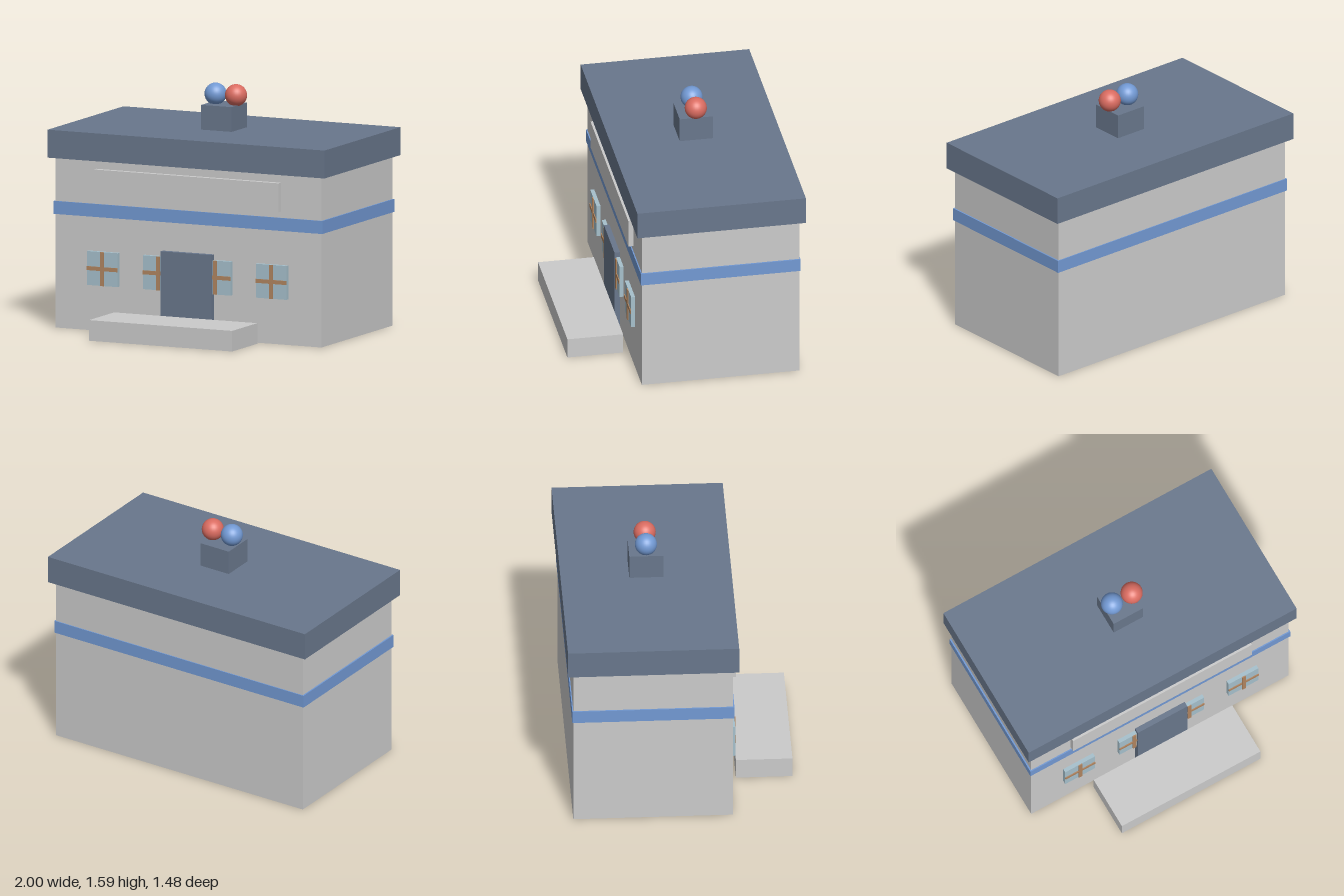
import * as THREE from 'three';

const mat = (name, color) => {
  const m = new THREE.MeshStandardMaterial({ color });
  m.name = name;
  return m;
};

export function createModel() {
  const wall = mat('wall grey', 0xcbcbcb);
  const slate = mat('slate', 0x69778c);
  const blue = mat('blue', 0x7299d3);
  const red = mat('red', 0xda6c61);
  const glass = mat('window glass', 0xa6c0cc);
  const wood = mat('window wood', 0xb08560);

  const model = new THREE.Group();
  model.name = 'building';

  // Box given by its limits on each axis
  const box = (name, material, [x0, x1], [y0, y1], [z0, z1], parent = model) => {
    const mesh = new THREE.Mesh(new THREE.BoxGeometry(x1 - x0, y1 - y0, z1 - z0), material);
    mesh.position.set((x0 + x1) / 2, (y0 + y1) / 2, (z0 + z1) / 2);
    mesh.name = name;
    parent.add(mesh);
    return mesh;
  };

  // Main volume, band and flat roof
  box('walls', wall, [-0.96, 0.96], [0, 1.115], [-0.704, 0.333]);
  box('wallBand', blue, [-0.97, 0.97], [0.745, 0.83], [-0.711, 0.341]);
  box('roof', slate, [-1, 1], [1.115, 1.298], [-0.74, 0.37]);

  // Front sign board, door and detached step
  box('signBoard', wall, [-0.667, 0.667], [0.87, 1.06], [0.333, 0.368]);
  box('door', slate, [-0.185, 0.185], [0, 0.557], [0.333, 0.369]);
  box('frontStep', wall, [-0.517, 0.517], [0, 0.135], [0.374, 0.741]);

  // Four windows with crossed glazing bars
  for (const x of [-0.61, -0.205, 0.205, 0.61]) {
    const win = new THREE.Group();
    win.name = 'window';
    win.position.set(x, 0.41, 0.333);
    box('pane', glass, [-0.111, 0.111], [-0.111, 0.111], [0, 0.026], win);
    box('verticalBar', wood, [-0.013, 0.013], [-0.111, 0.111], [0.026, 0.033], win);
    box('horizontalBar', wood, [-0.111, 0.111], [-0.013, 0.013], [0.026, 0.032], win);
    model.add(win);
  }

  // Roof beacon: a box carrying two round lamps
  box('beaconBase', slate, [-0.11, 0.11], [1.298, 1.46], [-0.295, -0.075]);
  for (const [name, material, x] of [['blueLamp', blue, -0.061], ['redLamp', red, 0.087]]) {
    const lamp = new THREE.Mesh(new THREE.SphereGeometry(0.072, 32, 20), material);
    lamp.position.set(x, 1.522, -0.185);
    lamp.name = name;
    model.add(lamp);
  }

  return model;
}
